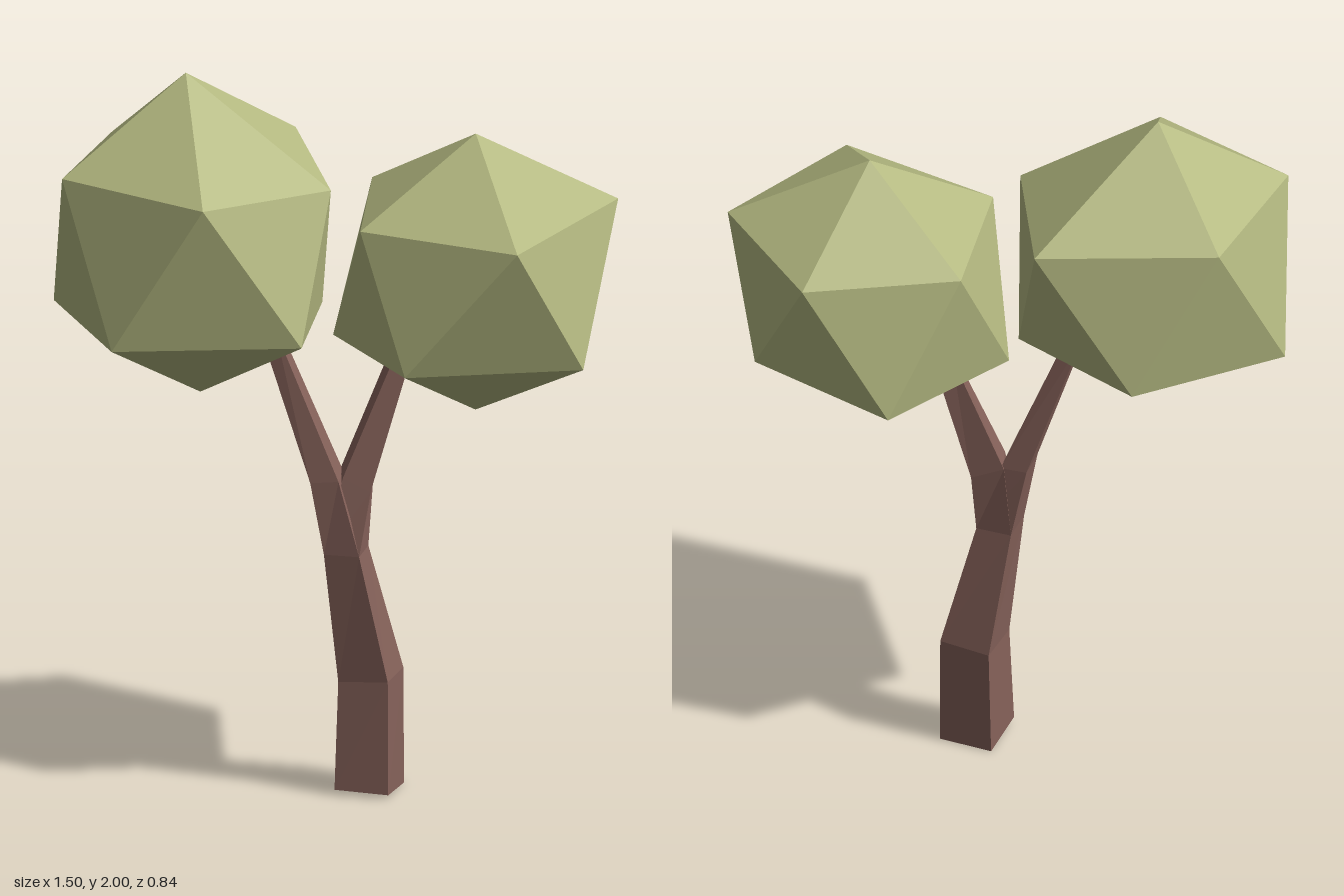
import * as THREE from 'three';
import { ConvexGeometry } from 'three/addons/geometries/ConvexGeometry.js';

const bark = new THREE.MeshStandardMaterial({ color: 0x86625a, flatShading: true });
const leaf = new THREE.MeshStandardMaterial({ color: 0xb4b981, flatShading: true });

// Skin a list of four-cornered sections (front -x, front +x, back +x, back -x), closed at both ends
function loft(sections) {
  const pos = [];
  const quad = (a, b, c, d) => pos.push(...a, ...b, ...c, ...a, ...c, ...d);
  for (let i = 0; i < sections.length - 1; i++) {
    const lo = sections[i], hi = sections[i + 1];
    for (let k = 0; k < 4; k++) {
      const n = (k + 1) % 4;
      quad(lo[k], lo[n], hi[n], hi[k]);
    }
  }
  const first = sections[0], last = sections[sections.length - 1];
  quad(first[3], first[2], first[1], first[0]);
  quad(...last);
  const geometry = new THREE.BufferGeometry();
  geometry.setAttribute('position', new THREE.Float32BufferAttribute(pos, 3));
  geometry.computeVertexNormals();
  return geometry;
}

// Slightly uneven twenty-sided crown: top, upper ring, lower ring, bottom
function crown(points) {
  return new ConvexGeometry(points.map((p) => new THREE.Vector3(...p)));
}

export function createModel() {
  const tree = new THREE.Group();
  tree.name = 'tree';
  const add = (name, geometry, material) => {
    const mesh = new THREE.Mesh(geometry, material);
    mesh.name = name;
    tree.add(mesh);
  };

  // Section where the trunk divides
  const fork = [[-0.024, 0.67, 0.052], [0.071, 0.67, 0.066], [0.087, 0.67, -0.035], [-0.01, 0.67, -0.05]];

  // Bent trunk running on into the branch on the -x side
  add('trunkAndRightBranch', loft([
    [[0.005, 0.015, 0.06], [0.15, 0.012, 0.085], [0.18, 0, -0.06], [0.035, 0, -0.09]],
    [[0.013, 0.31, 0.037], [0.147, 0.32, 0.063], [0.177, 0.32, -0.071], [0.04, 0.31, -0.098]],
    fork,
    [[-0.06, 0.87, 0.055], [0.015, 0.875, 0.053], [0.02, 0.875, -0.04], [-0.05, 0.87, -0.04]],
    [[-0.198, 1.29, 0.028], [-0.155, 1.29, 0.034], [-0.15, 1.29, -0.01], [-0.193, 1.29, -0.016]],
  ]), bark);

  // Shorter branch on the +x side
  add('leftBranch', loft([
    fork,
    [[0.025, 0.88, 0.035], [0.098, 0.84, 0.025], [0.098, 0.84, -0.05], [0.01, 0.875, -0.045]],
    [[0.163, 1.22, -0.003], [0.206, 1.22, -0.012], [0.2, 1.22, -0.07], [0.147, 1.22, -0.06]],
  ]), bark);

  add('rightCrown', crown([
    [-0.394, 2, 0.024],
    [-0.315, 1.745, 0.418], [0, 1.712, 0.115], [-0.13, 1.743, -0.31], [-0.61, 1.75, -0.21], [-0.708, 1.754, 0.205],
    [-0.56, 1.338, 0.395], [-0.06, 1.34, 0.33], [-0.04, 1.33, -0.09], [-0.395, 1.34, -0.31], [-0.75, 1.335, 0.03 - 0.06],
    [-0.352, 1.12, 0.06],
  ]), leaf);

  add('leftCrown', crown([
    [0.371, 1.823, -0.06],
    [0.513, 1.61, 0.308], [0.746, 1.636, -0.108], [0.48, 1.61, -0.403], [0.077, 1.62, -0.275], [0.081, 1.61, 0.148],
    [0.211, 1.248, 0.28], [0.677, 1.248, 0.173], [0.64, 1.27, -0.257], [0.244, 1.245, -0.418], [-0.01, 1.245, -0.072],
    [0.37, 1.05, -0.06],
  ]), leaf);

  return tree;
}
